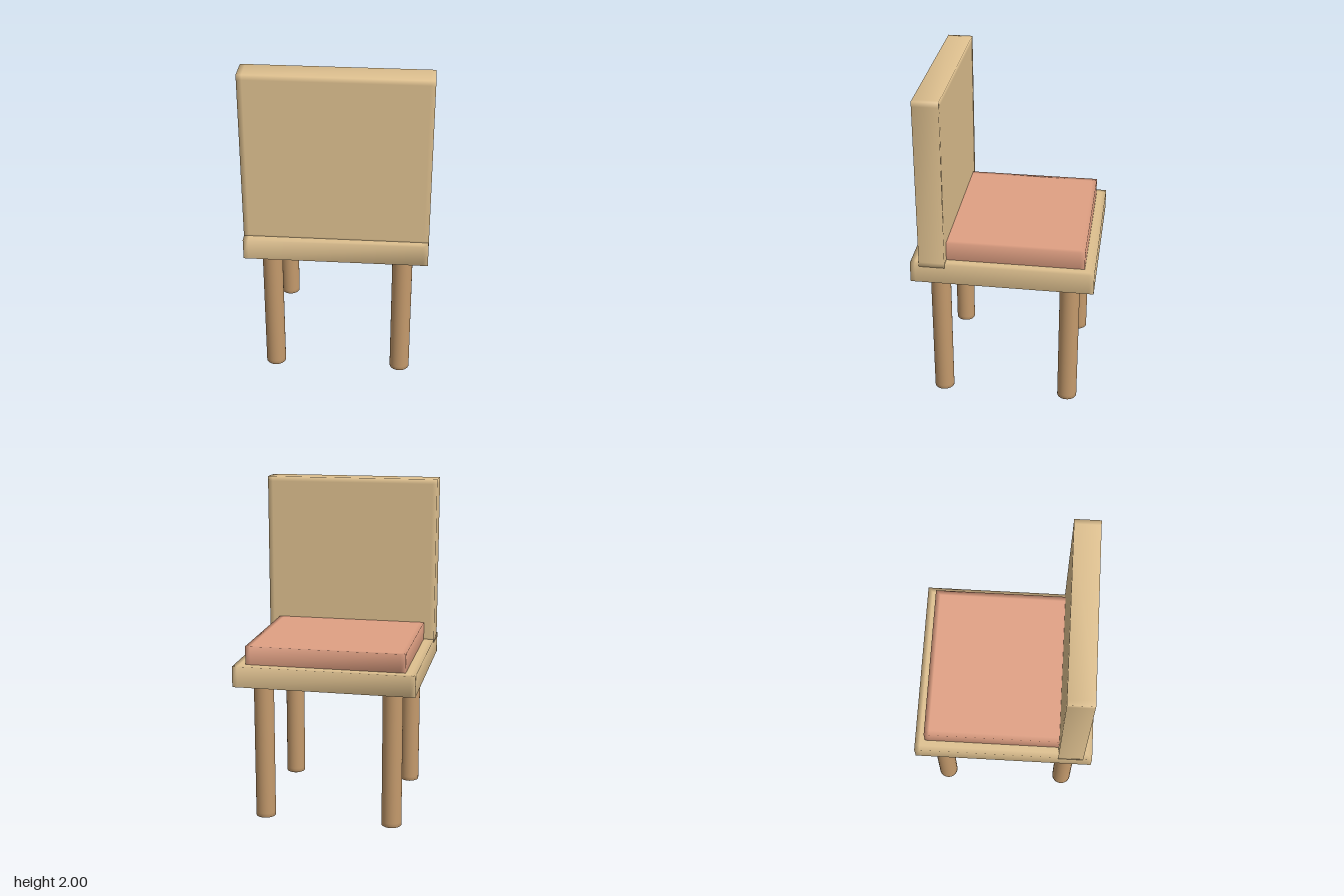
import * as THREE from 'three';
import { mergeVertices } from 'three/addons/utils/BufferGeometryUtils.js';

const wood = new THREE.MeshStandardMaterial({ color: 0xdec08f });
const legWood = new THREE.MeshStandardMaterial({ color: 0xc49a6c });
const fabric = new THREE.MeshStandardMaterial({ color: 0xe0a083 });

// Share vertices across edges so the shading rolls over them
function smooth(geometry) {
  geometry.deleteAttribute('normal');
  geometry.deleteAttribute('uv');
  const merged = mergeVertices(geometry, 1e-4);
  merged.computeVertexNormals();
  return merged;
}

// Box between two corners, with support loops near the rim of its broad faces.
// The thin axis keeps a single segment.
function slab(name, min, max, thinAxis, material) {
  const size = max.map((v, i) => v - min[i]);
  const segments = size.map((_, i) => (i === thinAxis ? 1 : 3));
  const geometry = new THREE.BoxGeometry(...size, ...segments);
  const p = geometry.attributes.position;
  for (let i = 0; i < p.count; i++) {
    for (let a = 0; a < 3; a++) {
      const v = p.getComponent(i, a);
      const half = size[a] / 2;
      if (Math.abs(v) < half - 1e-4) p.setComponent(i, a, Math.sign(v) * (half - 0.03));
    }
  }
  const mesh = new THREE.Mesh(smooth(geometry), material);
  mesh.name = name;
  mesh.position.set(...min.map((v, i) => (v + max[i]) / 2));
  return mesh;
}

export function createModel() {
  const chair = new THREE.Group();
  chair.name = 'chair';

  // Seat, cushion and backrest
  chair.add(
    slab('seat', [-0.54, 0.855, -0.54], [0.54, 0.98, 0.54], 1, wood),
    slab('cushion', [-0.475, 0.975, -0.48], [0.475, 1.09, 0.475], 1, fabric),
    slab('backrest', [-0.541, 0.96, 0.335], [0.541, 2, 0.487], 2, wood)
  );

  // Four round legs with a softly shaded foot rim
  const profile = [[0, 0], [0.05, 0], [0.06, 0.005], [0.06, 0.03], [0.06, 0.86]];
  const legGeometry = new THREE.LatheGeometry(profile.map(([x, y]) => new THREE.Vector2(x, y)), 32);
  for (const z of [-1, 1]) {
    for (const x of [-1, 1]) {
      const leg = new THREE.Mesh(legGeometry, legWood);
      leg.name = (z < 0 ? 'front' : 'back') + (x < 0 ? 'RightLeg' : 'LeftLeg');
      leg.position.set(x * 0.39, 0, z * 0.39);
      chair.add(leg);
    }
  }
  return chair;
}
